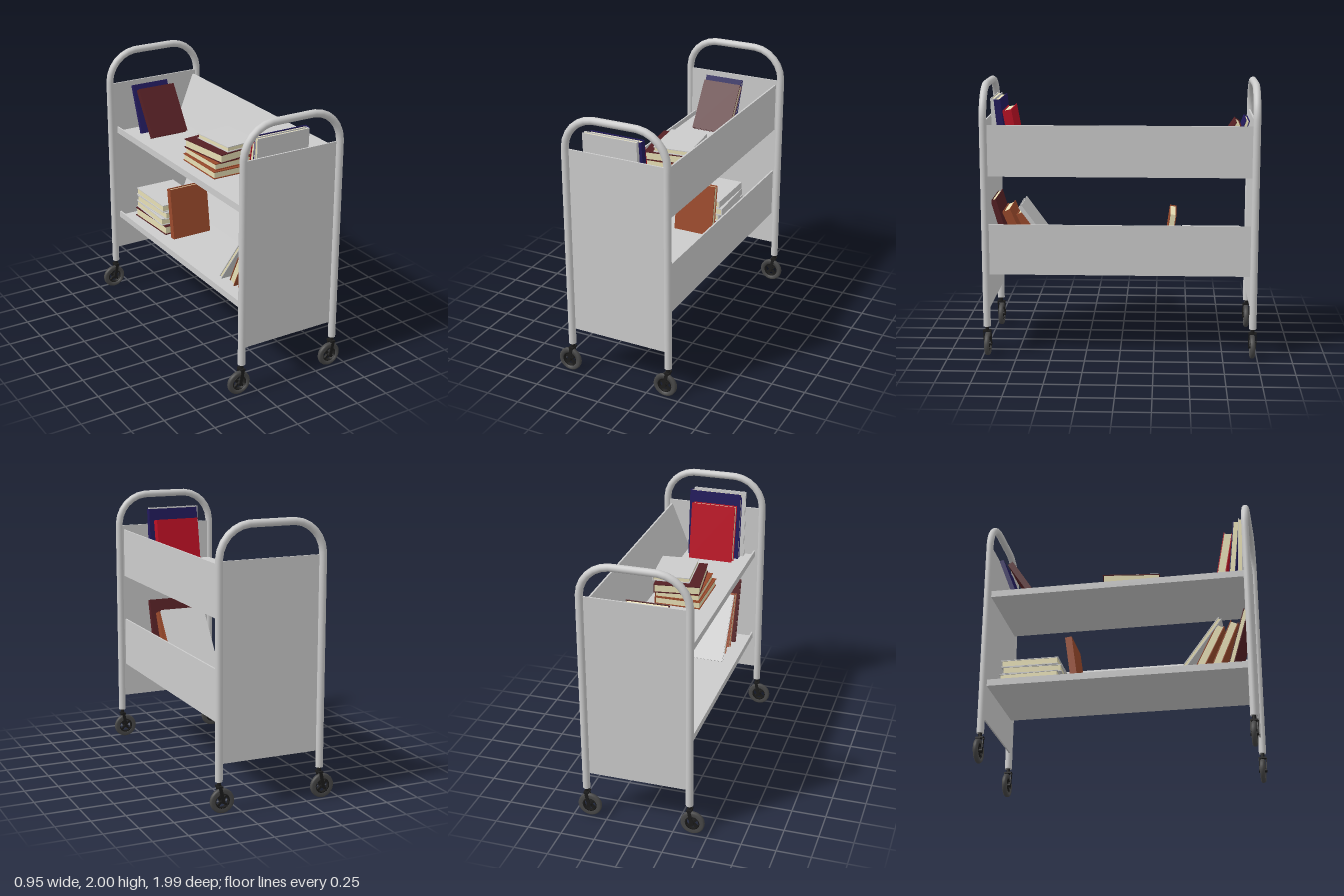
import * as THREE from 'three';

const mat = (color, extra = {}) => new THREE.MeshStandardMaterial({ color, ...extra });
const steel = mat(0xcccccc);
const sheet = mat(0xcccccc, { flatShading: true });
const black = mat(0x1c1c1c);
const rubber = mat(0x484848);
const paper = mat(0xe6deb4);
const covers = {
  grey: mat(0xcccccc), red: mat(0xbb1024), orange: mat(0x9a4a2c),
  maroon: mat(0x552024), navy: mat(0x221a5c),
};

const CX = 0.022;    // centre of the frame in x
const HALF = 0.385;  // half distance between posts
const END_Z = 0.965; // frame plane

function add(parent, name, geometry, material, x = 0, y = 0, z = 0) {
  const m = new THREE.Mesh(geometry, material);
  m.name = name;
  m.position.set(x, y, z);
  parent.add(m);
  return m;
}

// Bent tube: two posts joined by a rounded handle
function endFrame() {
  const g = new THREE.Group();
  const y0 = 0.23, y1 = 1.738, top = 1.973, r = top - y1, k = r * 0.5523;
  const v = (x, y) => new THREE.Vector3(x, y, 0);
  const path = new THREE.CurvePath();
  path.add(new THREE.LineCurve3(v(-HALF, y0), v(-HALF, y1)));
  path.add(new THREE.CubicBezierCurve3(v(-HALF, y1), v(-HALF, y1 + k), v(-HALF + r - k, top), v(-HALF + r, top)));
  path.add(new THREE.LineCurve3(v(-HALF + r, top), v(HALF - r, top)));
  path.add(new THREE.CubicBezierCurve3(v(HALF - r, top), v(HALF - r + k, top), v(HALF, y1 + k), v(HALF, y1)));
  path.add(new THREE.LineCurve3(v(HALF, y1), v(HALF, y0)));
  add(g, 'tubeFrame', new THREE.TubeGeometry(path, 72, 0.027, 14), steel, CX);
  for (const s of [-1, 1]) {
    add(g, 'postCap', new THREE.CircleGeometry(0.027, 14), steel, CX + s * HALF, y0, 0).rotation.x = Math.PI / 2;
  }
  return g;
}

// Swivel caster hanging from the origin, trailing toward -x
function caster() {
  const g = new THREE.Group();
  g.name = 'caster';
  const wx = -0.023, wy = -0.14;
  add(g, 'stem', new THREE.CylinderGeometry(0.014, 0.014, 0.05, 12), black, 0, -0.015);
  add(g, 'forkCrown', new THREE.BoxGeometry(0.036, 0.012, 0.058), black, -0.002, -0.036);
  for (const s of [-1, 1]) {
    const leg = add(g, 'forkLeg', new THREE.BoxGeometry(0.024, 0.115, 0.006), black, wx / 2, -0.088, s * 0.026);
    leg.rotation.z = -0.2;
  }
  // tyre with rounded shoulders
  const tyre = [[0.054, -0.014], [0.078, -0.018], [0.087, -0.01], [0.088, 0],
    [0.087, 0.01], [0.078, 0.018], [0.054, 0.014], [0.054, -0.014]];
  add(g, 'tyre', new THREE.LatheGeometry(tyre.map(p => new THREE.Vector2(...p)), 28), rubber, wx, wy)
    .rotation.x = Math.PI / 2;
  const rim = [[0.046, -0.013], [0.055, -0.013], [0.055, 0.013], [0.046, 0.013], [0.046, -0.013]];
  add(g, 'rim', new THREE.LatheGeometry(rim.map(p => new THREE.Vector2(...p)), 28), black, wx, wy)
    .rotation.x = Math.PI / 2;
  add(g, 'hub', new THREE.CylinderGeometry(0.015, 0.015, 0.058, 14), black, wx, wy).rotation.x = Math.PI / 2;
  for (const a of [Math.PI / 4, -Math.PI / 4]) {
    add(g, 'spokes', new THREE.BoxGeometry(0.1, 0.016, 0.018), black, wx, wy).rotation.z = a;
  }
  return g;
}

// Shelf trough: flat floor, small rim on -x, tall sloped back on +x
function shelf(y) {
  const s = new THREE.Shape([
    [-0.32, 0], [0.375, 0], [0.375, 0.37], [0.362, 0.37],
    [0.22, 0.015], [-0.308, 0.015], [-0.308, 0.05], [-0.32, 0.05],
  ].map(p => new THREE.Vector2(...p)));
  const geo = new THREE.ExtrudeGeometry(s, { depth: 1.9, bevelEnabled: false });
  const m = new THREE.Mesh(geo, sheet);
  m.name = 'shelf';
  m.position.set(0, y, -0.95);
  return m;
}

// Book standing on y = 0, thickness toward +z, spine at +x
function book(w, h, t, color) {
  const g = new THREE.Group();
  g.name = 'book';
  const c = 0.006, cover = covers[color];
  add(g, 'frontCover', new THREE.BoxGeometry(w, h, c), cover, 0, h / 2, c / 2);
  add(g, 'backCover', new THREE.BoxGeometry(w, h, c), cover, 0, h / 2, t - c / 2);
  add(g, 'spine', new THREE.BoxGeometry(c, h, t - 2 * c), cover, w / 2 - c / 2, h / 2, t / 2);
  add(g, 'pages', new THREE.BoxGeometry(w - 2 * c, h - 0.016, t - 2 * c), paper, 0, h / 2, t / 2);
  return g;
}

// Book leaning toward dir * z, its lower front edge at z
function leaningBook(parent, floor, dir, x, z, lean, w, h, t, color) {
  const b = book(w, h, t, color);
  b.position.set(x, floor + t * Math.sin(lean), z);
  b.rotation.set(lean, dir > 0 ? 0 : Math.PI, 0, 'YXZ');
  parent.add(b);
}

// Lying books, each [x, z, turn, w, h, t, color], piled upward
function stack(parent, floor, list) {
  let y = floor;
  for (const [x, z, turn, w, h, t, color] of list) {
    const holder = new THREE.Group();
    holder.name = 'lyingBook';
    const b = book(w, h, t, color);
    b.rotation.x = Math.PI / 2;
    b.position.set(0, t, -h / 2);
    holder.add(b);
    holder.position.set(x, y, z);
    holder.rotation.y = turn;
    parent.add(holder);
    y += t;
  }
}

export function createModel() {
  const cart = new THREE.Group();
  cart.name = 'bookCart';

  for (const s of [-1, 1]) {
    const frame = endFrame();
    frame.name = s > 0 ? 'frontFrame' : 'backFrame';
    frame.position.z = s * END_Z;
    cart.add(frame);
    add(cart, s > 0 ? 'frontPanel' : 'backPanel', new THREE.BoxGeometry(0.75, 1.385, 0.012), sheet, CX, 1.0425, s * 0.955);
    for (const side of [-1, 1]) {
      const c = caster();
      c.position.set(CX + side * HALF, 0.23, s * END_Z);
      cart.add(c);
    }
  }

  const upper = 1.33, lower = 0.61;
  cart.add(shelf(upper), shelf(lower));

  // Books on the upper shelf
  const up = new THREE.Group();
  up.name = 'upperBooks';
  const fu = upper + 0.015;
  leaningBook(up, fu, 1, -0.035, 0.886, 0.04, 0.41, 0.52, 0.035, 'grey');
  leaningBook(up, fu, 1, -0.012, 0.815, 0.1, 0.405, 0.515, 0.048, 'navy');
  leaningBook(up, fu, 1, -0.018, 0.715, 0.18, 0.345, 0.435, 0.066, 'red');
  leaningBook(up, fu, -1, -0.045, -0.77, 0.36, 0.3, 0.38, 0.032, 'navy');
  leaningBook(up, fu, -1, -0.028, -0.62, 0.58, 0.305, 0.39, 0.045, 'maroon');
  stack(up, fu, [
    [-0.015, 0.08, 0, 0.34, 0.44, 0.055, 'orange'],
    [-0.005, 0.07, 0.03, 0.33, 0.41, 0.05, 'orange'],
    [0.015, 0.06, 0.14, 0.335, 0.43, 0.065, 'maroon'],
    [0.062, 0.08, 0.1, 0.275, 0.365, 0.04, 'grey'],
  ]);
  cart.add(up);

  // Books on the lower shelf
  const low = new THREE.Group();
  low.name = 'lowerBooks';
  const fl = lower + 0.015;
  leaningBook(low, fl, 1, -0.02, 0.775, 0.28, 0.39, 0.51, 0.04, 'maroon');
  leaningBook(low, fl, 1, -0.03, 0.65, 0.4, 0.34, 0.43, 0.062, 'orange');
  leaningBook(low, fl, 1, -0.03, 0.53, 0.46, 0.33, 0.42, 0.062, 'orange');
  leaningBook(low, fl, 1, -0.03, 0.415, 0.63, 0.36, 0.535, 0.03, 'grey');
  leaningBook(low, fl, -1, -0.02, -0.305, 0.14, 0.32, 0.395, 0.05, 'orange');
  stack(low, fl, [
    [-0.02, -0.66, 0.04, 0.36, 0.46, 0.07, 'maroon'],
    [-0.03, -0.67, -0.03, 0.34, 0.44, 0.055, 'grey'],
    [-0.02, -0.66, 0.05, 0.34, 0.44, 0.055, 'grey'],
    [-0.03, -0.67, 0, 0.33, 0.43, 0.055, 'grey'],
  ]);
  cart.add(low);

  return cart;
}
